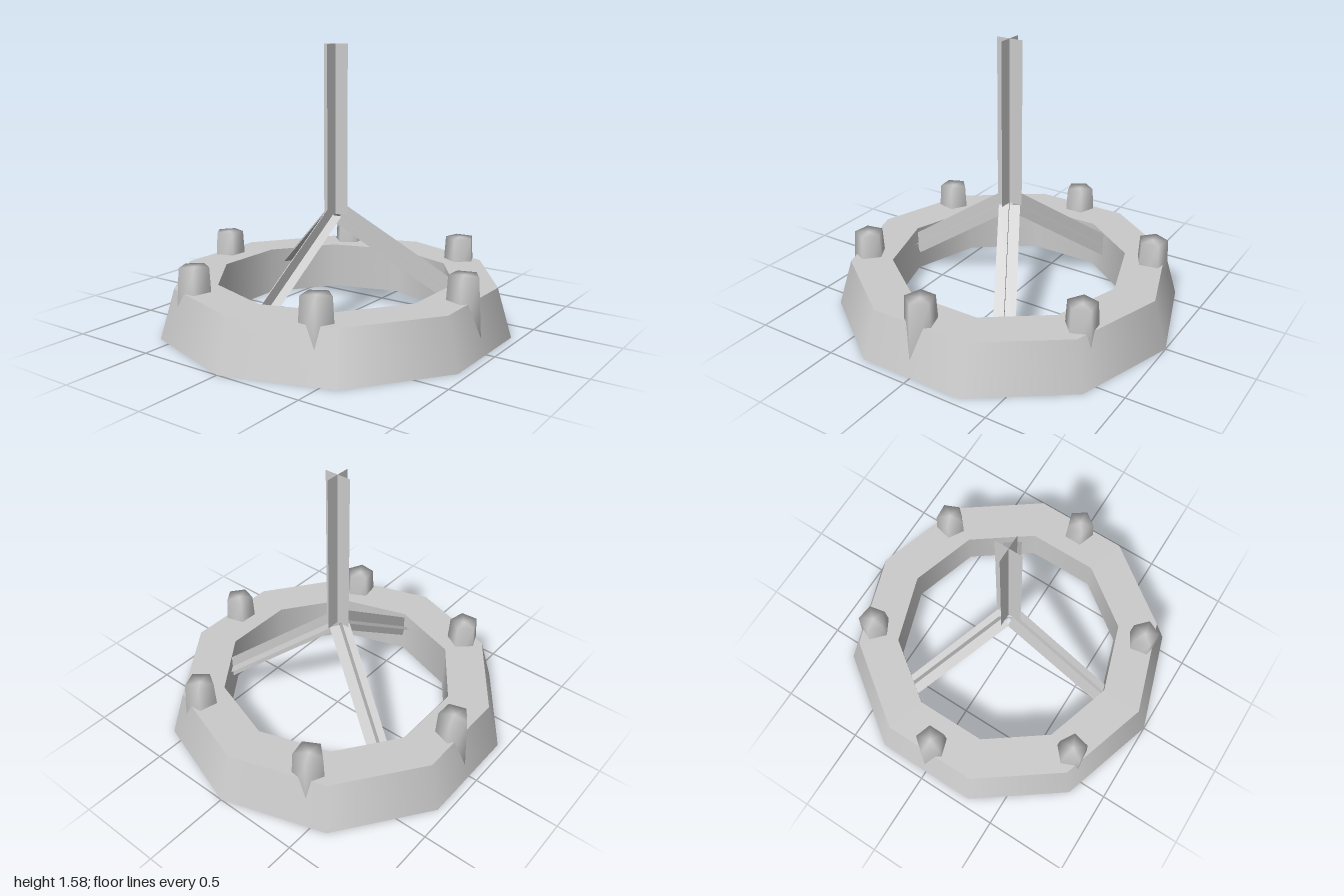
import * as THREE from 'three';
import { mergeGeometries, mergeVertices } from 'three/addons/utils/BufferGeometryUtils.js';

export function createModel() {
  const model = new THREE.Group();
  const grey = new THREE.MeshStandardMaterial({ color: 0xcacaca, side: THREE.DoubleSide });
  grey.name = 'plain grey';

  const add = (parent, geometry, name) => {
    const mesh = new THREE.Mesh(geometry, grey);
    mesh.name = name;
    parent.add(mesh);
    return mesh;
  };

  // Two flat fins crossing along the x axis, starting at the origin
  const crossedFins = (length, width) => {
    const upright = new THREE.PlaneGeometry(length, width).translate(length / 2, 0, 0);
    const level = upright.clone().rotateX(-Math.PI / 2);
    return mergeGeometries([upright, level]);
  };

  // Ten-sided base ring: one strip per wall keeps the rims sharp
  const profile = [[1, 0], [0.92, 0.275], [0.68, 0.275], [0.68, 0], [1, 0]]
    .map(([r, y]) => new THREE.Vector2(r, y));
  const strips = [];
  for (let i = 0; i < 4; i++) {
    strips.push(new THREE.LatheGeometry([profile[i], profile[i + 1]], 10, Math.PI / 2));
  }
  add(model, mergeGeometries(strips), 'baseRing');

  // Six tapered five-sided pegs, each with a corner pointing outward
  let peg = new THREE.CylinderGeometry(0.0845, 0.106, 0.36, 5);
  peg.deleteAttribute('uv');
  peg.deleteAttribute('normal');
  peg = mergeVertices(peg);
  peg.computeVertexNormals();
  peg.rotateY(Math.PI / 2).translate(0.823, 0.23, 0);
  for (let i = 0; i < 6; i++) {
    add(model, peg, 'peg').rotation.y = -THREE.MathUtils.degToRad(31 + i * 60);
  }

  // Three sloping struts from the hub into the ring
  const strut = crossedFins(0.815, 0.12);
  strut.rotateZ(-0.604).translate(0.03, 0.623, 0);
  for (const turn of [1, 3, 5]) {
    add(model, strut, 'strut').rotation.y = (turn * Math.PI) / 3;
  }

  // Upright post of crossed fins
  const post = crossedFins(0.95, 0.16);
  post.rotateZ(Math.PI / 2).translate(0, 0.625, 0);
  add(model, post, 'post');

  return model;
}
